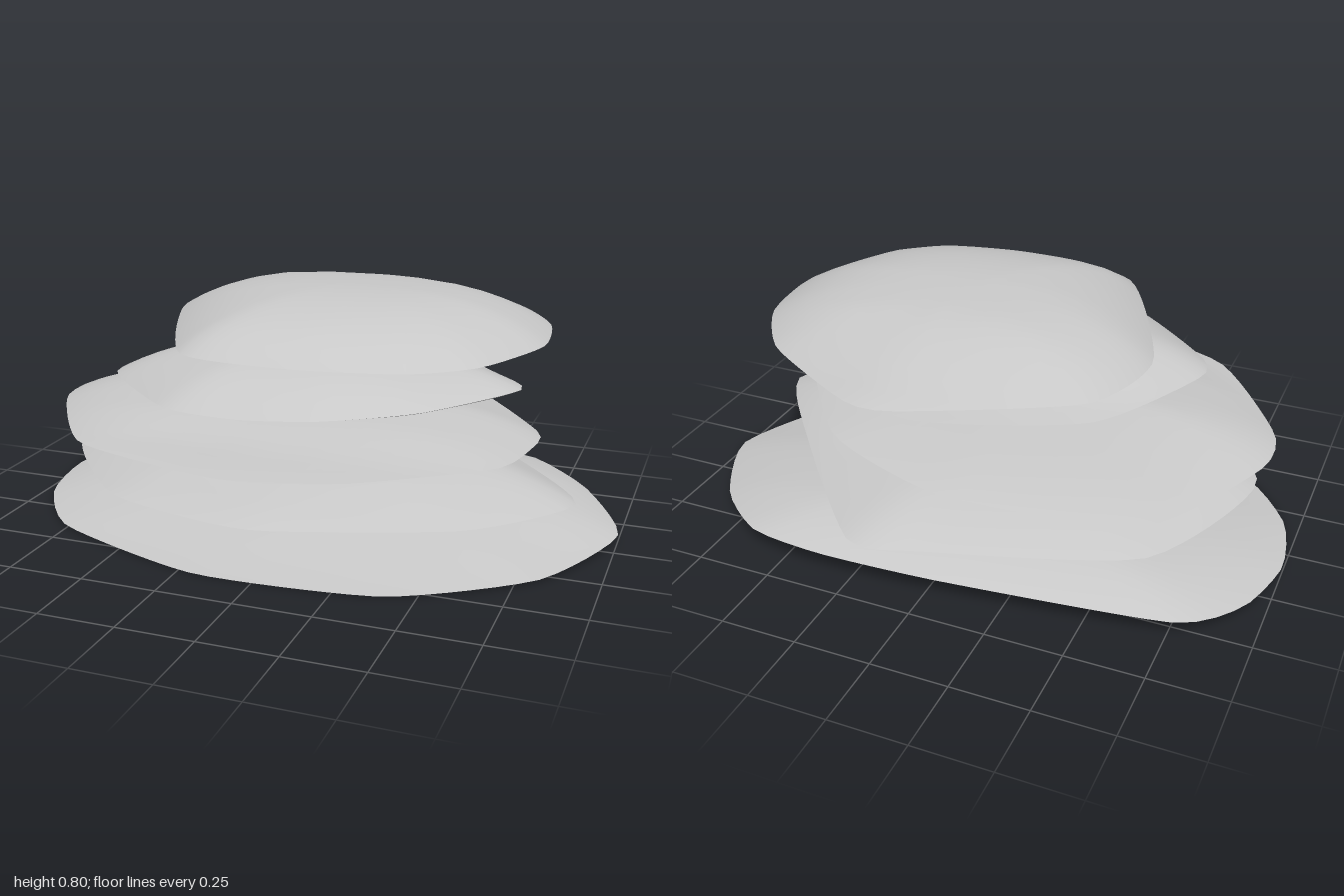
import * as THREE from 'three';

const SEGMENTS = 72;
const RINGS = 10;

// Height of a stone's crest, read between a few [z, height] points.
function crestAt(crest, z) {
  const i = Math.max(1, crest.findIndex(([end]) => z <= end));
  if (z <= crest[0][0]) return crest[0][1];
  if (z >= crest[crest.length - 1][0]) return crest[crest.length - 1][1];
  const [a, ya] = crest[i - 1], [b, yb] = crest[i];
  return THREE.MathUtils.lerp(ya, yb, (z - a) / (b - a));
}

// One skin of a stone: rings shrinking from the rim to the middle.
function skin(rim, height, power, up) {
  const c = new THREE.Vector3();
  rim.forEach(p => c.addScaledVector(p, 1 / rim.length));
  const pos = [c.x, height(c.z), c.z], index = [];
  for (let k = 1; k <= RINGS; k++) {
    const r = Math.sin((k / RINGS) * Math.PI / 2);
    for (const p of rim) {
      const x = c.x + (p.x - c.x) * r, z = c.z + (p.z - c.z) * r;
      pos.push(x, p.y + (height(z) - p.y) * (1 - r ** power), z);
    }
  }
  const at = (k, i) => 1 + (k - 1) * SEGMENTS + i % SEGMENTS;
  const face = (a, b, d) => up ? index.push(a, d, b) : index.push(a, b, d);
  for (let i = 0; i < SEGMENTS; i++) {
    face(0, at(1, i), at(1, i + 1));
    for (let k = 1; k < RINGS; k++) {
      face(at(k, i), at(k + 1, i), at(k + 1, i + 1));
      face(at(k, i), at(k + 1, i + 1), at(k, i + 1));
    }
  }
  const g = new THREE.BufferGeometry();
  g.setAttribute('position', new THREE.Float32BufferAttribute(pos, 3));
  g.setIndex(index);
  g.computeVertexNormals();
  return g;
}

// A flat stone: domed top and nearly flat underside meeting at a sharp rim.
// outline: [x, z] points from the left side round by the front;
// edge and floor: height as functions of position.
function makeStone(name, material, { outline, edge, floor, crest, power }) {
  const points = outline.map(([x, z]) => new THREE.Vector3(x, edge(x, z), z));
  const curve = new THREE.CatmullRomCurve3(points, true, 'catmullrom', .3);
  const rim = Array.from({ length: SEGMENTS }, (_, i) => curve.getPointAt(i / SEGMENTS));
  const top = new THREE.Mesh(skin(rim, z => crestAt(crest, z), power, true), material);
  top.name = name + 'Top';
  const underside = new THREE.Mesh(skin(rim, floor, 6, false), material);
  underside.name = name + 'Underside';
  const stone = new THREE.Group();
  stone.name = name;
  stone.add(top, underside);
  return stone;
}

export function createModel() {
  const model = new THREE.Group();
  model.name = 'stackedStones';
  const stoneGrey = new THREE.MeshStandardMaterial({ color: 0xc8c8c8 });
  stoneGrey.name = 'stoneGrey';

  // Bottom stone, thin at the front and blunt at the back
  model.add(makeStone('bottomStone', stoneGrey, {
    outline: [[1, -.1], [.82, .3], [.4, .56], [-.2, .6], [-.75, .41], [-.95, .16], [-1, -.1],
      [-.94, -.36], [-.77, -.55], [-.06, -.65], [.35, -.67], [.62, -.63], [.84, -.44]],
    edge: (x, z) => .022 - .03 * z + .09 * Math.max(0, -.3 - z),
    floor: z => .019 - .031 * z,
    crest: [[-.42, .165], [-.2, .14], [.2, .08], [.6, .03]],
    power: 3.2,
  }));

  // Second stone, pointed on its left and cut away at the back left
  model.add(makeStone('secondStone', stoneGrey, {
    outline: [[.89, .13], [.62, .47], [.08, .68], [-.15, .67], [-.5, .55], [-.86, .08],
      [-.65, -.45], [0, -.68], [.22, -.71], [.62, -.26]],
    edge: (x, z) => .202 + .02 * z,
    floor: z => .178 + .02 * z,
    crest: [[-.5, .285], [-.3, .29], [0, .33], [.2, .325], [.5, .295]],
    power: 3,
  }));

  // Middle stone, reaching furthest forward
  model.add(makeStone('middleStone', stoneGrey, {
    outline: [[.75, .18], [.69, .38], [.33, .63], [.08, .71], [-.12, .71], [-.6, .55], [-.89, .13],
      [-.9, -.1], [-.66, -.54], [-.06, -.63], [.4, -.45], [.74, 0]],
    edge: x => .374 + .01 * x,
    floor: () => .354,
    crest: [[-.5, .424], [-.3, .434], [0, .462], [.3, .44], [.5, .4]],
    power: 4,
  }));

  // Fourth stone, low at the back and blunt on its left
  model.add(makeStone('fourthStone', stoneGrey, {
    outline: [[.71, .16], [.47, .44], [.2, .56], [-.05, .585], [-.3, .55], [-.6, .28],
      [-.63, .14], [-.4, -.28], [.16, -.49], [.6, -.02]],
    edge: x => .512 + .07 * Math.max(0, x),
    floor: () => .502,
    crest: [[-.4, .545], [-.2, .565], [0, .645], [.5, .66]],
    power: 2.6,
  }));

  // Top stone, the most domed
  model.add(makeStone('topStone', stoneGrey, {
    outline: [[.75, .03], [.62, .32], [.43, .46], [.1, .52], [-.28, .47], [-.54, -.11], [-.45, -.45],
      [.04, -.715], [.2, -.715], [.56, -.49], [.72, -.25]],
    edge: (x, z) => .67 - .015 * z,
    floor: z => .65 - .015 * z,
    crest: [[-.6, .74], [-.3, .795], [0, .807], [.3, .803], [.5, .82]],
    power: 3.2,
  }));

  // Small chips wedged between stones
  for (const [x, y, z] of [[.04, .335, -.19], [.2, .635, .33]]) {
    const chip = new THREE.Mesh(new THREE.CylinderGeometry(.04, .02, .06, 7), stoneGrey);
    chip.name = 'wedgedChip';
    chip.position.set(x, y, z);
    model.add(chip);
  }
  return model;
}
